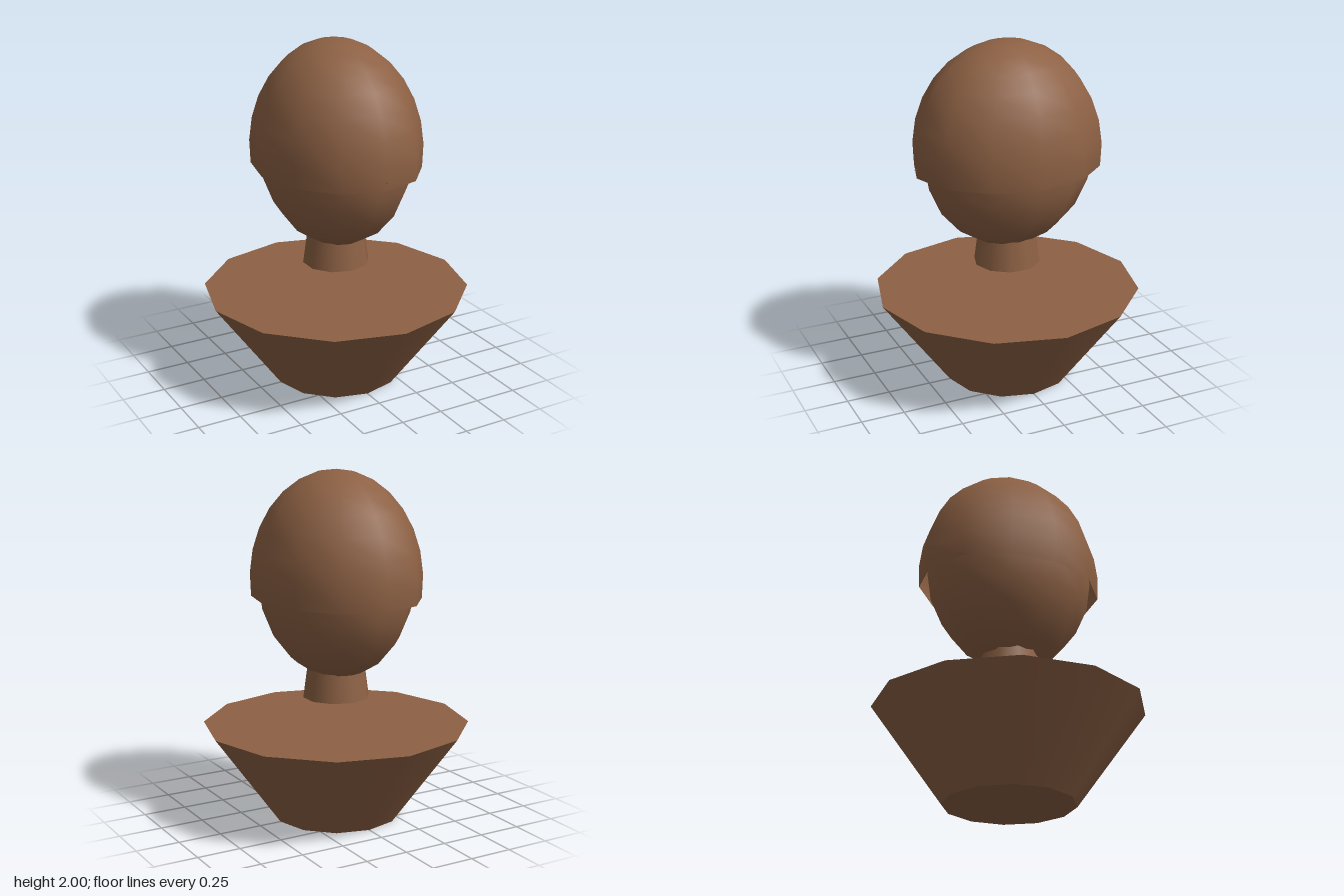
import * as THREE from 'three';

export function createModel() {
  const group = new THREE.Group();
  const brown = new THREE.MeshStandardMaterial({ color: 0x8d6144, side: THREE.DoubleSide });
  brown.name = 'brown';

  const add = (name, geometry, y, z = 0) => {
    const mesh = new THREE.Mesh(geometry, brown);
    mesh.name = name;
    mesh.position.set(0, y, z);
    group.add(mesh);
    return mesh;
  };

  // Shoulders: tapered twelve-sided block
  add('shoulders', new THREE.CylinderGeometry(0.767, 0.37, 0.545, 12), 0.2725);

  // Neck: ten-sided, narrowing up into the head
  add('neck', new THREE.CylinderGeometry(0.16, 0.193, 0.24, 10), 0.82);

  // Head: egg-shaped, longer front to back
  add('head', new THREE.SphereGeometry(1, 12, 10).scale(0.425, 0.556, 0.497), 1.374);

  // Hair cap: open dome reaching just below its widest ring
  const dome = new THREE.SphereGeometry(1, 12, 8, 0, Math.PI * 2, 0, Math.PI * 0.55);
  add('hairCap', dome.scale(0.47, 0.623, 0.55), 1.377);

  // Nose: small cone whose tip just shows through the cap
  add('nose', new THREE.ConeGeometry(0.04, 0.1, 6).rotateX(Math.PI / 2), 1.33, 0.508);

  return group;
}
